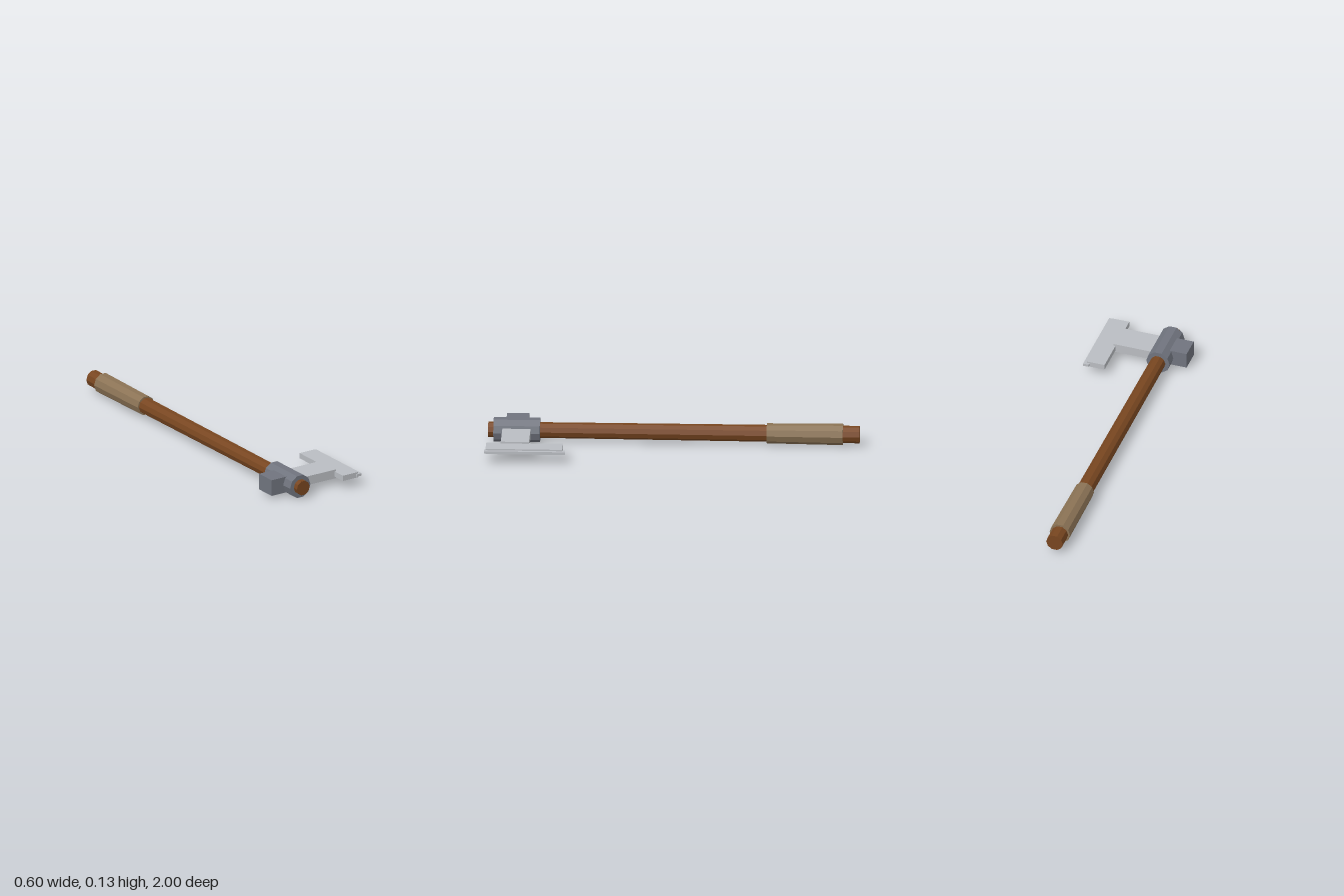
import * as THREE from 'three';

export function createModel() {
  const model = new THREE.Group();
  const mat = (name, color) => {
    const m = new THREE.MeshStandardMaterial({ color, flatShading: true });
    m.name = name;
    return m;
  };
  const wood = mat('brown wood', 0x784620);
  const leather = mat('tan leather', 0x8b7355);
  const iron = mat('dark iron', 0x70747e);
  const steel = mat('bright steel', 0xbabdc2);

  // The axe lies on its side, turned slightly about y
  const axe = new THREE.Group();
  axe.name = 'axe';
  axe.position.set(-0.163, 0.065, 0);
  axe.rotation.y = 0.087;
  model.add(axe);

  const add = (name, geometry, material) => {
    const mesh = new THREE.Mesh(geometry, material);
    mesh.name = name;
    axe.add(mesh);
  };

  // Ten-sided tapered rod along z, with flats at top and bottom
  const rod = (name, z0, z1, r0, r1, material) => {
    const g = new THREE.CylinderGeometry(r1, r0, z1 - z0, 10);
    g.rotateY(Math.PI / 2).rotateX(Math.PI / 2);
    g.translate(0, 0, (z0 + z1) / 2);
    add(name, g, material);
  };

  // Block given by its x and z limits and its thickness
  const block = (name, x0, x1, z0, z1, thickness, material) => {
    const g = new THREE.BoxGeometry(x1 - x0, thickness, z1 - z0);
    g.translate((x0 + x1) / 2, 0, (z0 + z1) / 2);
    add(name, g, material);
  };

  // Handle and grip
  rod('handle', -1, 1, 0.047, 0.0415, wood);
  rod('grip', -0.91, -0.5, 0.058, 0.054, leather);

  // Head: socket, poll at the back, then neck, blade and cutting edge
  rod('socket', 0.721, 0.971, 0.066, 0.066, iron);
  block('poll', -0.141, 0, 0.785, 0.905, 0.09, iron);
  block('bladeNeck', 0, 0.268, 0.77, 0.922, 0.05, steel);
  block('blade', 0.258, 0.358, 0.587, 1.0, 0.03, steel);
  block('cuttingEdge', 0.343, 0.375, 0.572, 1.008, 0.014, steel);

  return model;
}
